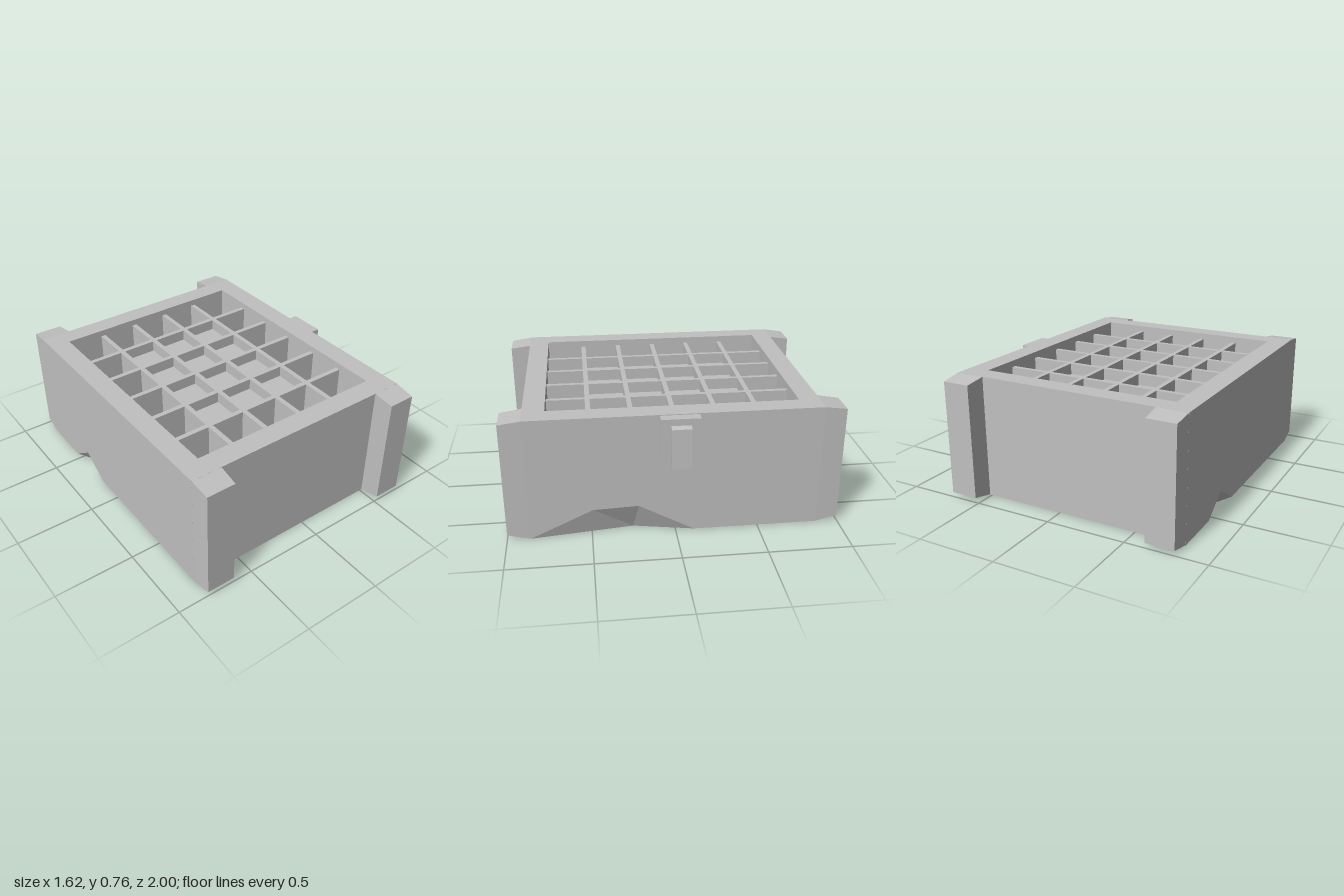
import * as THREE from 'three';

const L = -0.81, R = 0.70, D = 0.87, H = 0.76, FLOOR = 0.50;

export function createModel() {
  const group = new THREE.Group();
  const grey = new THREE.MeshStandardMaterial({ color: 0xc0c0c0, flatShading: true });
  grey.name = 'light grey';
  const add = (name, geo) => {
    const mesh = new THREE.Mesh(geo, grey);
    mesh.name = name;
    group.add(mesh);
    return mesh;
  };
  const box = (name, x0, x1, y0, y1, z0, z1) =>
    add(name, new THREE.BoxGeometry(x1 - x0, y1 - y0, z1 - z0))
      .position.set((x0 + x1) / 2, (y0 + y1) / 2, (z0 + z1) / 2);
  const shape = pts => new THREE.Shape(pts.map(p => new THREE.Vector2(...p)));

  // Rim around the recess; its inner faces are the recess walls
  const rim = shape([[L, -D], [R, -D], [R, D], [L, D]]);
  rim.holes.push(shape([[-0.68, -0.74], [-0.68, 0.745], [0.57, 0.745], [0.57, -0.74]]));
  add('rim', new THREE.ExtrudeGeometry(rim, { depth: H - FLOOR, bevelEnabled: false })
    .rotateX(-Math.PI / 2).translate(0, FLOOR, 0));

  // Lower side walls with a faceted dent broken out of the bottom edge.
  // u runs left to right along the wall as seen from outside.
  const sideWall = (name, dir, x, dent, depth, uIn) => {
    const wall = shape([[-D, 0], ...dent, [D, 0], [D, FLOOR], [-D, FLOOR]]);
    add(name + 'Wall', new THREE.ShapeGeometry(wall)
      .rotateY(dir * Math.PI / 2).translate(x, 0, 0));
    const at = ([u, y]) => [x, y, -dir * u];
    const inner = [x - dir * depth, 0, -dir * uIn];
    const verts = [];
    for (let i = 0; i < dent.length - 1; i++) {
      verts.push(...at(dent[i]), ...inner, ...at(dent[i + 1]));
    }
    const geo = new THREE.BufferGeometry();
    geo.setAttribute('position', new THREE.Float32BufferAttribute(verts, 3));
    geo.computeVertexNormals();
    add(name + 'Dent', geo);
  };
  sideWall('left', 1, R, [[-0.86, 0], [-0.49, 0.17], [-0.22, 0.18], [0.11, 0]], 0.075, -0.25);
  sideWall('right', -1, L, [[-0.55, 0], [-0.38, 0.12], [-0.19, 0]], 0.09, -0.38);

  // Underside, notched where the dents cut in
  add('underside', new THREE.ShapeGeometry(shape([
    [R, D], [R, 0.86], [R - 0.075, 0.25], [R, -0.11], [R, -D],
    [L, -D], [L, -0.55], [L + 0.09, -0.38], [L, -0.19], [L, D],
  ])).rotateX(Math.PI / 2));

  // End walls
  for (const s of [1, -1]) {
    add(s > 0 ? 'frontWall' : 'backWall', new THREE.PlaneGeometry(R - L, FLOOR)
      .rotateY(s > 0 ? 0 : Math.PI).translate((L + R) / 2, FLOOR / 2, s * D));
  }

  // Corner posts: chamfered at top and bottom, narrowing slightly outwards
  for (const [x0, x1] of [[L, -0.62], [0.515, R]]) {
    for (const s of [1, -1]) {
      const profile = shape([[0.865, 0], [1, 0.03], [1, 0.74], [0.865, H]]);
      const geo = new THREE.ExtrudeGeometry(profile, { depth: x1 - x0, bevelEnabled: false })
        .rotateY(-Math.PI / 2).translate((x1 - x0) / 2, 0, 0);
      const p = geo.attributes.position;
      for (let i = 0; i < p.count; i++) if (p.getZ(i) > 0.95) p.setX(i, p.getX(i) * 0.94);
      geo.rotateY(s > 0 ? 0 : Math.PI).translate((x0 + x1) / 2, 0, 0);
      geo.computeVertexNormals();
      add('cornerPost', geo);
    }
  }

  // Recess floor, raised in the middle
  add('recessFloor', new THREE.PlaneGeometry(1.25, 1.485)
    .rotateX(-Math.PI / 2).translate(-0.055, FLOOR + 0.001, -0.002));
  box('raisedFloor', -0.43, 0.305, FLOOR, 0.65, -0.495, 0.49);

  // Divider grid
  for (let i = 0; i < 4; i++) {
    const x = -0.43 + i * 0.245;
    box('longDivider', x - 0.015, x + 0.015, FLOOR, 0.72, -0.745, 0.74);
  }
  for (let i = 0; i < 5; i++) {
    const z = -0.495 + i * 0.247;
    box('crossDivider', -0.68, 0.57, FLOOR, 0.72, z - 0.015, z + 0.015);
  }

  // Latch: back plate and hanging hook
  box('latchPlate', R, 0.76, 0.525, 0.755, -0.135, 0.095);
  add('latchHook', new THREE.ExtrudeGeometry(shape([
    [0.72, 0.53], [0.75, 0.465], [0.805, 0.465], [0.793, 0.705], [0.76, 0.715], [0.72, 0.715],
  ]), { depth: 0.115, bevelEnabled: false }).translate(0, 0, -0.078));

  return group;
}
